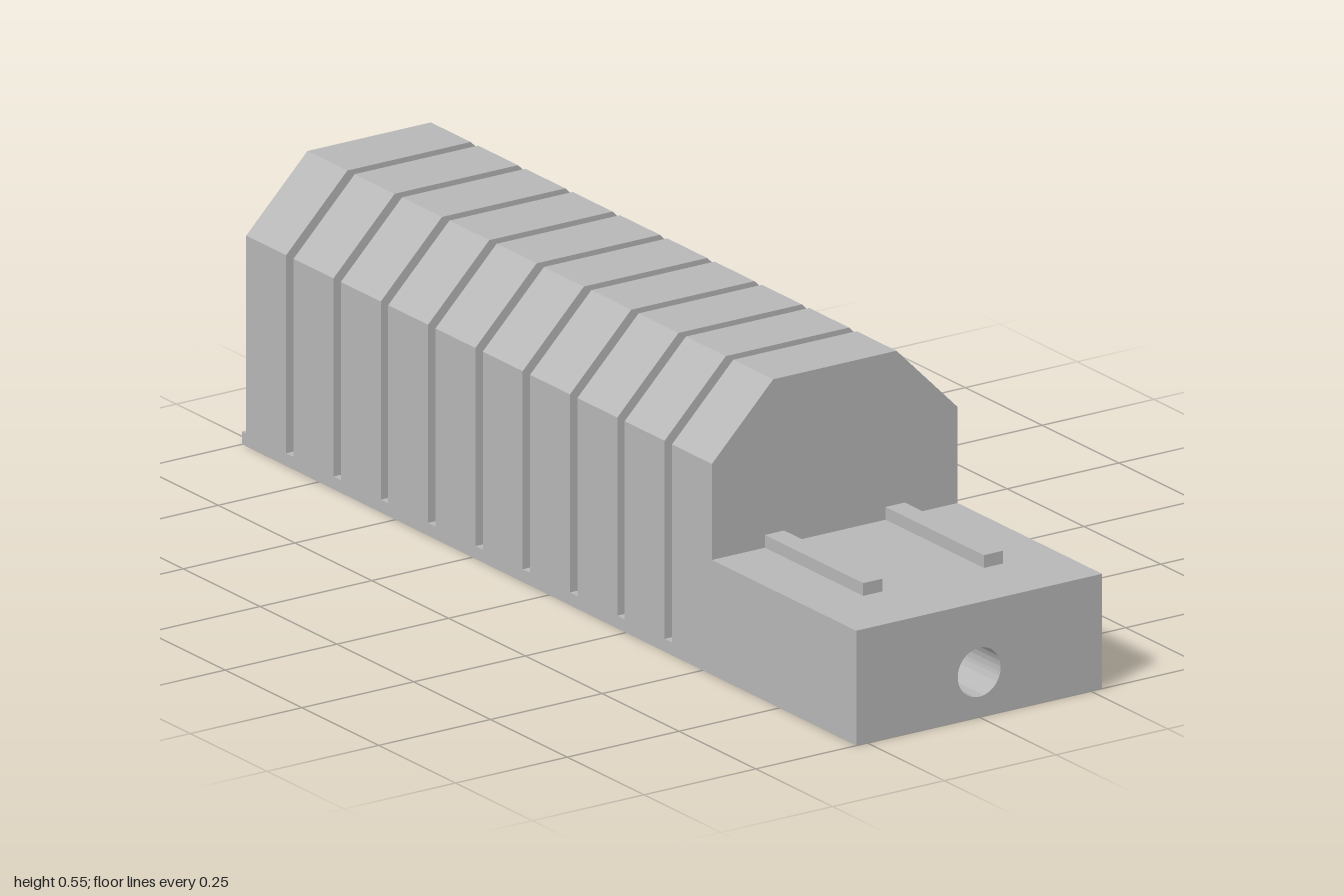
import * as THREE from 'three';
import { toCreasedNormals } from 'three/addons/utils/BufferGeometryUtils.js';

export function createModel() {
  const model = new THREE.Group();
  model.name = 'finnedBlock';
  const grey = new THREE.MeshStandardMaterial({ color: 0xb8b8b8 });
  grey.name = 'plain grey';

  const W = 0.275, FLOOR = 0.025, DECK = 0.225, SHOULDER = 0.413, TOP = 0.551;
  const FRONT = 0.53, FIN = 0.13, STEP = 0.154;

  const polygon = (points) => new THREE.Shape(points.map(([x, y]) => new THREE.Vector2(x, y)));

  // Extrudes a front-view outline from zBack to zFront
  function addExtrusion(name, shape, zBack, zFront) {
    const geometry = new THREE.ExtrudeGeometry(shape, {
      depth: zFront - zBack, bevelEnabled: false, curveSegments: 40,
    });
    geometry.translate(0, 0, zBack);
    const mesh = new THREE.Mesh(toCreasedNormals(geometry, 0.5), grey);
    mesh.name = name;
    model.add(mesh);
  }

  // Chamfered cross-section shared by all fins
  const finShape = (bottom) => polygon([
    [-W, bottom], [W, bottom], [W, SHOULDER], [TOP - SHOULDER, TOP],
    [SHOULDER - TOP, TOP], [-W, SHOULDER],
  ]);

  // Base plate with a central triangular ridge, visible in the slots
  addExtrusion('ridgedBase', polygon([
    [-W, 0], [W, 0], [W, FLOOR], [0.11, FLOOR], [0, 0.135], [-0.11, FLOOR], [-W, FLOOR],
  ]), -1, FRONT - FIN);

  // Ten fins; the first reaches the ground
  for (let i = 0; i < 10; i++) {
    const z = FRONT - i * STEP;
    addExtrusion(`fin${i + 1}`, finShape(i === 0 ? 0 : FLOOR), z - FIN, z);
  }

  // Low front block with a round bore
  const block = polygon([[-W, 0], [W, 0], [W, DECK], [-W, DECK]]);
  const bore = new THREE.Path();
  bore.absarc(0, 0.088, 0.048, 0, Math.PI * 2, true);
  block.holes.push(bore);
  addExtrusion('frontBlock', block, FRONT, 1);

  // Wedge at the bottom of the bore
  const wedge = new THREE.Shape();
  wedge.moveTo(0, 0.088);
  wedge.absarc(0, 0.088, 0.048, Math.PI * 1.25, Math.PI * 1.75, false);
  wedge.closePath();
  addExtrusion('boreWedge', wedge, FRONT, FRONT + 0.05);

  // Pair of rails on the deck
  for (const side of [-1, 1]) {
    const rail = new THREE.Mesh(new THREE.BoxGeometry(0.043, 0.025, 0.32), grey);
    rail.name = side > 0 ? 'leftRail' : 'rightRail';
    rail.position.set(side * 0.135, DECK + 0.0125, FRONT + 0.16);
    model.add(rail);
  }
  return model;
}
